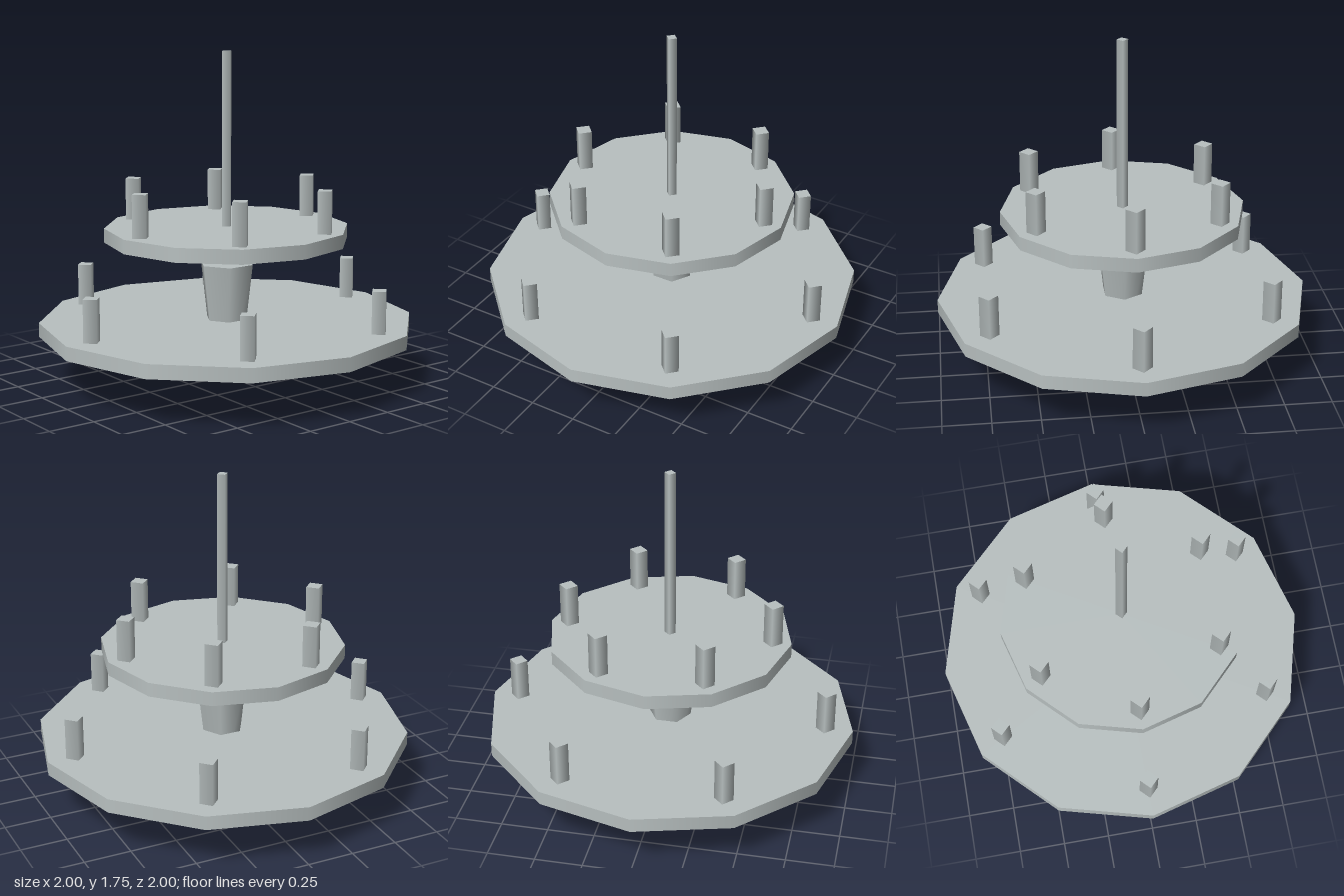
import * as THREE from 'three';

export function createModel() {
  const root = new THREE.Group();
  const metal = new THREE.MeshStandardMaterial({ color: 0xb8c0c0 });
  metal.name = 'pale grey metal';

  // Vertical prism or tapered column with one corner on the x axis
  function column(name, rTop, rBottom, y0, y1, sides, x = 0, z = 0) {
    const geo = new THREE.CylinderGeometry(rTop, rBottom, y1 - y0, sides);
    geo.rotateY(Math.PI / 2);
    const mesh = new THREE.Mesh(geo, metal);
    mesh.name = name;
    mesh.position.set(x, (y0 + y1) / 2, z);
    return mesh;
  }

  // Central stem and spindle
  root.add(column('stem', 0.15, 0.075, 0, 0.625, 6));
  root.add(column('spindle', 0.03, 0.03, 0.625, 1.75, 4));

  // Two round tiers, each carrying a ring of six posts
  function tier(name, radius, y, ring) {
    const group = new THREE.Group();
    group.name = name;
    group.add(column('disc', radius, radius, y, y + 0.075, 12));
    for (let i = 0; i < 6; i++) {
      const a = (i * Math.PI) / 3;
      group.add(column('post', 0.05, 0.05, y + 0.075, y + 0.3, 4, ring * Math.cos(a), ring * Math.sin(a)));
    }
    root.add(group);
  }
  tier('lowerTier', 1, 0.25, 0.85);
  tier('upperTier', 0.65, 0.75, 0.55);

  return root;
}
